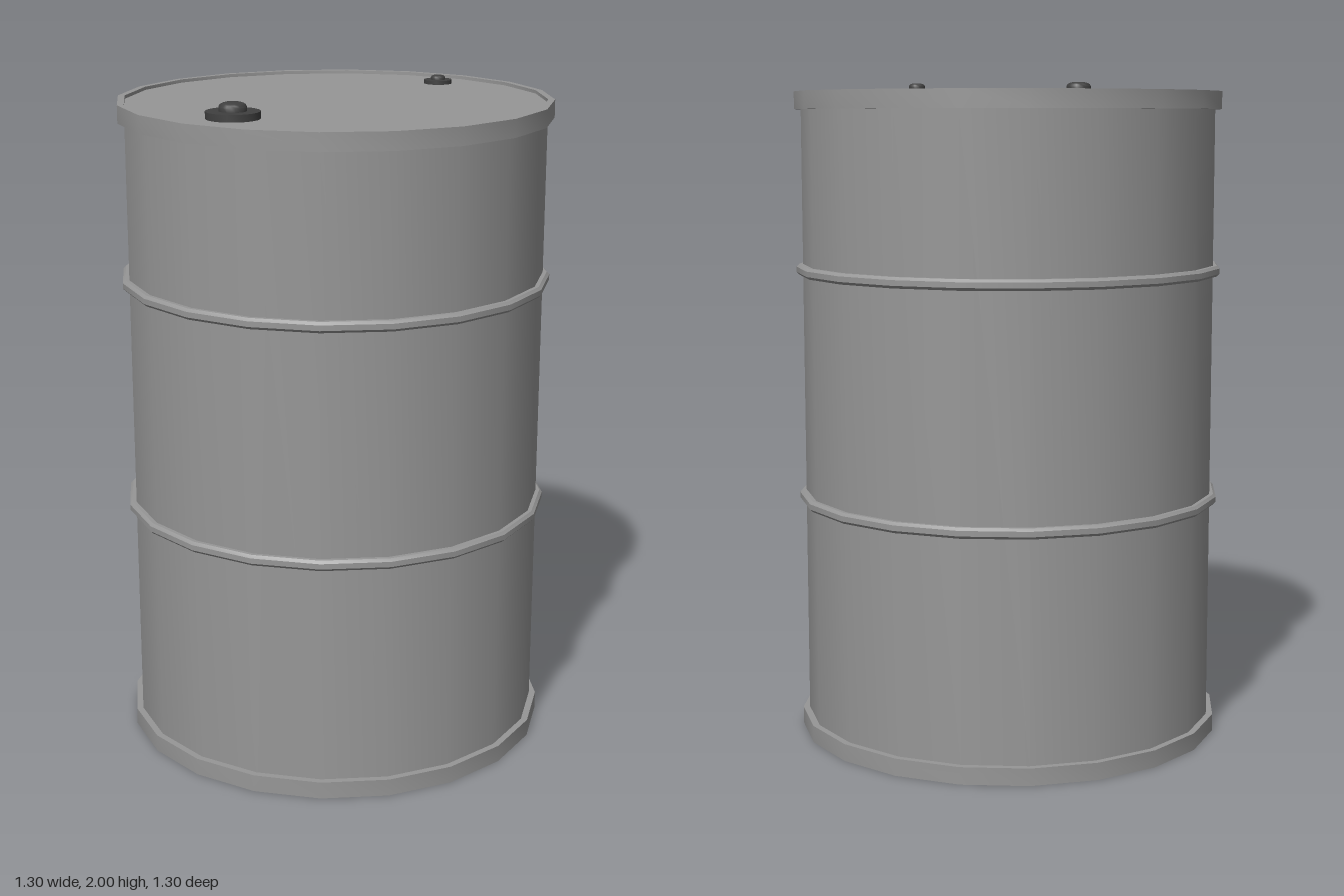
import * as THREE from 'three';
import { toCreasedNormals } from 'three/addons/utils/BufferGeometryUtils.js';

const SIDES = 20;
const BODY_R = 0.628;
const RIM_R = 0.648;
const TOP = 1.963;
const LID_Y = 1.953;

const steel = new THREE.MeshStandardMaterial({ color: 0x979797 });
const darkCap = new THREE.MeshStandardMaterial({ color: 0x404040 });

// Turned part from an [r, y] profile, listed bottom to top on the outside
function turned(name, profile, sides, material) {
  const points = profile.map(([r, y]) => new THREE.Vector2(r, y));
  const geometry = toCreasedNormals(new THREE.LatheGeometry(points, sides), 0.6);
  const mesh = new THREE.Mesh(geometry, material);
  mesh.name = name;
  return mesh;
}

// Screw plug: flat flange with a small domed knob
function plug(name, z, scale) {
  const group = new THREE.Group();
  group.name = name;
  group.add(
    turned('flange', [[0, 0], [0.078, 0], [0.078, 0.021], [0, 0.021]], 24, darkCap),
    turned('knob', [[0.04, 0.02], [0.04, 0.033], [0.037, 0.039], [0.031, 0.043], [0.02, 0.046], [0, 0.047]], 20, darkCap)
  );
  group.position.set(0, LID_Y, z);
  group.scale.setScalar(scale);
  return group;
}

export function createModel() {
  const drum = new THREE.Group();
  drum.name = 'drum';

  // Shell with projecting end rims and a slightly sunken lid
  drum.add(turned('shell', [
    [0, 0], [RIM_R, 0], [RIM_R, 0.052],
    [BODY_R, 0.052], [BODY_R, 1.91],
    [RIM_R, 1.91], [RIM_R, TOP],
    [BODY_R, TOP], [BODY_R, LID_Y], [0, LID_Y],
  ], SIDES, steel));

  // Rolling hoops with bevelled edges
  for (const [name, y] of [['lowerHoop', 0.732], ['upperHoop', 1.429]]) {
    const hoop = turned(name, [
      [BODY_R - 0.002, -0.016], [RIM_R - 0.008, -0.016], [RIM_R, -0.008],
      [RIM_R, 0.008], [RIM_R - 0.008, 0.016], [BODY_R - 0.002, 0.016],
    ], SIDES, steel);
    hoop.position.y = y;
    drum.add(hoop);
  }

  // Large filler plug at the front, small vent plug at the back
  drum.add(plug('fillerPlug', 0.445, 1), plug('ventPlug', -0.507, 0.56));
  return drum;
}
